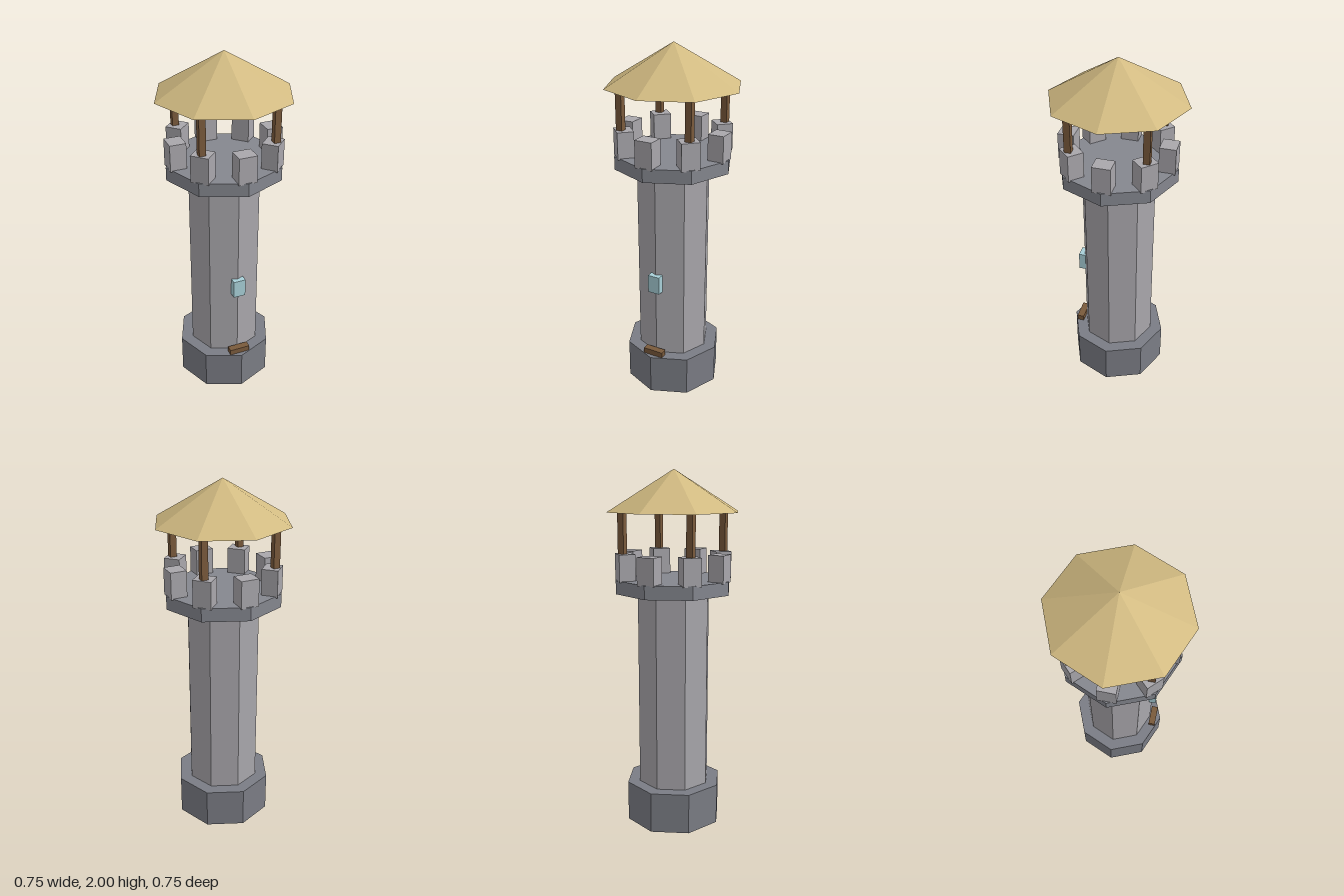
import * as THREE from 'three';

const mat = (color) => new THREE.MeshStandardMaterial({ color, flatShading: true });

export function createModel() {
  const tower = new THREE.Group();
  tower.name = 'watchtower';

  const darkStone = mat(0x7b7d85);
  const stone = mat(0xa9a7ac);
  const platformStone = mat(0x85878f);
  const wood = mat(0x7a5a3c);
  const straw = mat(0xd2bb82);
  const glass = mat(0xa8d0d8);

  const add = (name, geometry, material, x, y, z) => {
    const mesh = new THREE.Mesh(geometry, material);
    mesh.name = name;
    mesh.position.set(x, y, z);
    tower.add(mesh);
    return mesh;
  };

  // Eight-sided blocks with corners on the axes, given by bottom and top height
  const octagon = (name, radius, y0, y1, material) =>
    add(name, new THREE.CylinderGeometry(radius, radius, y1 - y0, 8), material, 0, (y0 + y1) / 2, 0);

  octagon('base', 0.278, 0, 0.232, darkStone);
  octagon('shaft', 0.207, 0.2, 1.34, stone);
  octagon('platform', 0.33, 1.338, 1.412, platformStone);

  // Ring of battlement blocks, one at each platform corner
  const merlonShape = new THREE.BoxGeometry(0.1, 0.15, 0.09);
  for (let i = 0; i < 8; i++) {
    const a = (i * Math.PI) / 4;
    const merlon = add('merlon', merlonShape, stone, 0.275 * Math.sin(a), 1.48, 0.275 * Math.cos(a));
    merlon.rotation.y = a;
  }

  // Four posts carrying the roof
  const postShape = new THREE.BoxGeometry(0.036, 0.39, 0.036);
  for (const sx of [-1, 1]) {
    for (const sz of [-1, 1]) add('roofPost', postShape, wood, sx * 0.205, 1.595, sz * 0.205);
  }

  // Pointed roof, closed underneath
  add('roof', new THREE.ConeGeometry(0.375, 0.225, 8), straw, 0, 1.8875, 0);

  // Door, mostly sunk in the base, and window on the front
  add('door', new THREE.BoxGeometry(0.12, 0.215, 0.04), wood, 0, 0.1575, 0.23);
  add('window', new THREE.BoxGeometry(0.07, 0.105, 0.045), glass, 0, 0.692, 0.21);

  return tower;
}
